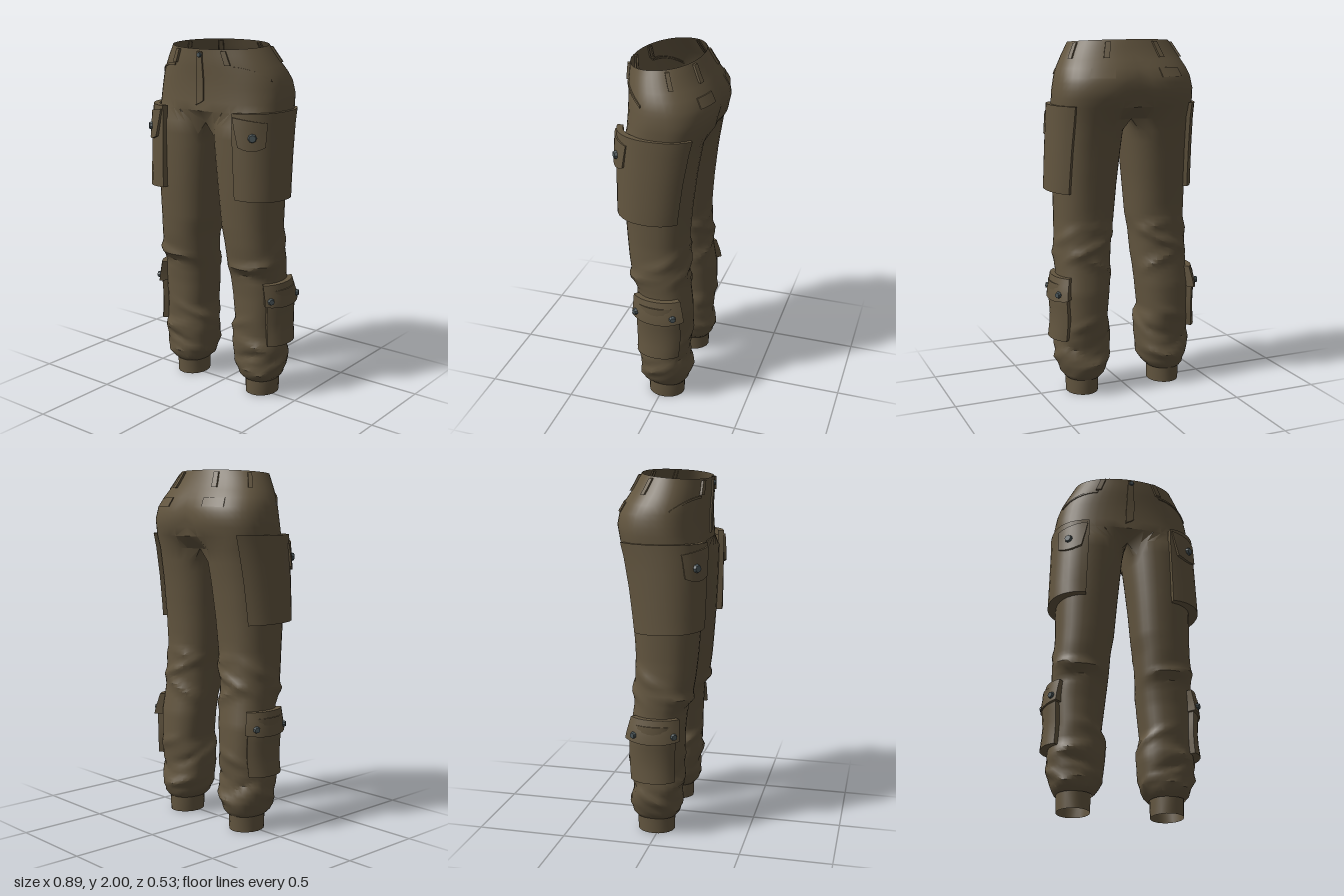
import * as THREE from 'three';
import { mergeGeometries, toCreasedNormals } from 'three/addons/utils/BufferGeometryUtils.js';

const { sin, cos, abs, max, min, PI, sign, exp } = Math;

// leg sections: y, inner x, outer x, front z, back z
const LEG = [
  [0.09, .16, .352, .092, -.132], [.115, .135, .375, .115, -.15], [.2, .10, .40, .128, -.162],
  [.3, .09, .408, .138, -.152], [.36, .09, .40, .132, -.158], [.45, .112, .39, .14, -.17],
  [.6, .095, .40, .142, -.165], [.7, .085, .393, .15, -.15], [.77, .08, .395, .175, -.14],
  [.9, .072, .388, .195, -.14], [1, .055, .385, .205, -.135], [1.2, .038, .388, .22, -.15],
  [1.4, .018, .392, .23, -.172], [1.57, 0, .395, .235, -.2], [1.7, 0, .4, .235, -.23],
];
// hip sections: y, half width, front z, back z, squareness
const HIP = [
  [1.57, .4, .228, -.215, 2.8], [1.64, .402, .228, -.245, 2.7], [1.73, .402, .225, -.267, 2.5],
  [1.8, .39, .226, -.257, 2.4], [1.85, .374, .229, -.23, 2.3], [1.92, .338, .233, -.185, 2.2],
  [2, .295, .234, -.145, 2.1],
];
// cloth folds: y, angle, angular reach, tilt, height, depth
const FOLDS = [
  [.79, .5, 1.5, .02, .035, .022], [.73, .2, 1.1, -.03, .03, -.012], [.9, 1.9, 1.0, .08, .05, .012],
  [.86, 3.2, 1.3, .07, .04, .018], [.76, 3.4, 1.2, -.08, .04, .02], [.95, 3.6, 1.0, -.06, .04, .014],
  [.4, 5.3, 1.3, .06, .04, .016], [.31, .4, 1.2, -.05, .045, .016], [.25, .1, 1.0, .05, .035, -.016],
  [.2, 1.3, 1.1, .07, .04, .018], [.18, 3.3, 1.2, .04, .04, .02], [.27, 2.6, 1.0, -.06, .04, -.018],
  [.15, .3, 1.0, -.03, .025, .016], [.16, 5, 1.1, .04, .035, .016], [.34, 4, 1.1, .05, .04, -.014],
  [.13, 2.2, .8, .02, .025, -.014], [.42, 2.9, .9, .05, .04, .012],
];

function row(table, y) {
  let i = 0;
  while (i < table.length - 2 && y > table[i + 1][0]) i++;
  const a = table[i], b = table[i + 1];
  const k = min(1, max(0, (y - a[0]) / (b[0] - a[0])));
  return a.map((v, j) => v + (b[j] - v) * k);
}
const pow = (v, n) => sign(v) * abs(v) ** (2 / n);

// point on the left leg; angle 0 faces front, PI/2 faces outward
function legPoint(y, t) {
  const [, xi, xo, zf, zb] = row(LEG, y);
  return new THREE.Vector3((xi + xo) / 2 + (xo - xi) / 2 * pow(sin(t), 2.3), y,
    (zf + zb) / 2 + (zf - zb) / 2 * pow(cos(t), 2.3));
}
// point on the left half of the hips
function hipPoint(y, t) {
  const [, w, zf, zb, n] = row(HIP, y);
  const x = w * pow(sin(t), n);
  let z = (zf + zb) / 2 + (zf - zb) / 2 * pow(cos(t), n);
  if (cos(t) < 0) z += .022 * exp(-((x / .07) ** 2)) * max(0, 1 - abs(y - 1.7) / .2);
  const dip = .028 * (.5 + .5 * cos(t)) * max(0, (y - 1.8) / .2);
  return new THREE.Vector3(x, y - dip, z);
}
function outward(surf, y, t) {
  const d = surf(y, t + .03).sub(surf(y, t - .03));
  return new THREE.Vector3(-d.z, 0, d.x).normalize();
}
function foldDepth(y, t) {
  let s = 0;
  for (const [fy, ft, reach, tilt, h, depth] of FOLDS) {
    const dt = ((t - ft + 3 * PI) % (2 * PI)) - PI;
    s += depth * max(0, 1 - abs(dt) / reach) * max(0, 1 - abs(y - fy - tilt * dt) / h);
  }
  return s;
}

function buildGeometry(points, index) {
  const g = new THREE.BufferGeometry();
  g.setAttribute('position', new THREE.Float32BufferAttribute(points.flatMap(p => [p.x, p.y, p.z]), 3));
  g.setIndex(index);
  return g;
}
function mirrored(g) {
  const m = g.clone().scale(-1, 1, 1), ix = m.index.array;
  for (let i = 0; i < ix.length; i += 3) [ix[i], ix[i + 1]] = [ix[i + 1], ix[i]];
  return m;
}

// hips and leg of one side, sharing the crotch ring
function halfTrousers() {
  const M = 24, K = 10, N = M + 1 + K, a = .8, pts = [], index = [];
  const ys = [.09, .1, .115];
  for (let y = .14; y < 1; y += .022) ys.push(y);
  for (let y = 1.02; y < 1.55; y += .06) ys.push(y);
  ys.push(1.57);
  const quad = (p, q, r, s) => index.push(p, q, r, p, r, s);
  ys.forEach((y, j) => {
    for (let i = 0; i < N; i++) {
      const t = i <= M ? -a + (PI + 2 * a) * i / M : PI + a + (PI - 2 * a) * (i - M) / (K + 1);
      const p = legPoint(y, t);
      if (y > .1) p.addScaledVector(outward(legPoint, y, t), foldDepth(y, t));
      if (y === 1.57 && (i >= M || i === 0)) p.x = 0;
      pts.push(p);
      const b = (j - 1) * N, n = (i + 1) % N;
      if (j > 0) quad(b + i, b + n, b + N + n, b + N + i);
    }
  });
  let low = (ys.length - 1) * N;
  for (const y of [1.64, 1.69, 1.73, 1.77, 1.8, 1.85, 1.89, 1.92, 1.96, 2]) {
    const high = pts.length;
    for (let i = 0; i <= M; i++) {
      const p = hipPoint(y, PI * i / M);
      if (i === 0 || i === M) p.x = 0;
      pts.push(p);
      if (i < M) quad(low + i, low + i + 1, high + i + 1, high + i);
    }
    low = high;
  }
  return buildGeometry(pts, index);
}

// raised cloth panel lying on a surface; at(u, v) gives [y, angle], lift(u, v) the height
function panel(surf, at, lift, nu = 10, nv = 5) {
  const pts = [], index = [], W = nu + 3;
  for (let j = -1; j <= nv + 1; j++) for (let i = -1; i <= nu + 1; i++) {
    const u = min(1, max(0, i / nu)), v = min(1, max(0, j / nv));
    const rim = i < 0 || j < 0 || i > nu || j > nv;
    const [y, t] = at(u, v);
    pts.push(surf(y, t).addScaledVector(outward(surf, y, t), rim ? -.01 : lift(u, v)));
    if (i <= nu && j <= nv) {
      const p = (j + 1) * W + i + 1;
      index.push(p, p + 1, p + W + 1, p, p + W + 1, p + W);
    }
  }
  return buildGeometry(pts, index);
}
const rect = (y0, y1, t0, t1) => (u, v) => [y0 + (y1 - y0) * v, t0 + (t1 - t0) * u];

function stud(surf, y, t, lift, r = .022) {
  const n = outward(surf, y, t), g = new THREE.CylinderGeometry(r * .75, r, .016, 8);
  g.applyQuaternion(new THREE.Quaternion().setFromUnitVectors(new THREE.Vector3(0, 1, 0), n));
  const p = surf(y, t).addScaledVector(n, lift);
  return g.translate(p.x, p.y, p.z);
}

export function createModel() {
  const group = new THREE.Group();
  const cloth = new THREE.MeshStandardMaterial({ color: 0x62553f, side: THREE.DoubleSide });
  cloth.name = 'olive brown cloth';
  const metal = new THREE.MeshStandardMaterial({ color: 0x4b5659 });
  metal.name = 'blue grey metal';
  const add = (name, g, mat = cloth) => {
    const mesh = new THREE.Mesh(toCreasedNormals(g, .6), mat);
    mesh.name = name;
    group.add(mesh);
  };
  const pair = (name, g, mat) => {
    add('left ' + name, g, mat);
    add('right ' + name, mirrored(g), mat);
  };

  const half = halfTrousers();
  add('trousers', mergeGeometries([half, mirrored(half)]));

  // ankle cuffs
  const cuff = new THREE.CylinderGeometry(1, .97, .105, 20, 1, true);
  pair('ankle cuff', cuff.scale(.094, 1, .108).translate(.257, .0525, -.02));

  // thigh cargo pockets with a tapered front flap
  pair('thigh pocket', panel(legPoint, (u, v) => [1.185 + .465 * v - .02 * u * (1 - v), .15 + (2.2 + .12 * v) * u],
    (u, v) => .024 + .028 * (1 - v) * sin(PI * min(1, u * .9 + .1)), 14, 6));
  pair('thigh pocket flap', panel(legPoint, (u, v) => [1.475 + .155 * v - .02 * sin(PI * u) * (1 - v) - .03 * u * v,
    .18 + .14 * (1 - v) + (.85 - .2 * (1 - v)) * u], (u, v) => .046 - .012 * v, 6, 3));
  pair('thigh pocket button', stud(legPoint, 1.525, .66, .046, .025), metal);

  // shin cargo pockets
  pair('shin pocket', panel(legPoint, rect(.335, .66, .82, 2.3), (u, v) => .03 + .012 * sin(PI * u), 9, 5));
  pair('shin pocket flap', panel(legPoint, (u, v) => [.575 + .12 * v - .015 * sin(PI * u) * (1 - v), .74 + 1.64 * u],
    (u, v) => .05 - .02 * v, 9, 3));
  for (const [name, t] of [['front', .92], ['rear', 2.05]])
    pair(`shin pocket ${name} button`, stud(legPoint, .605, t, .05, .02), metal);

  // waist: belt loops, slanted hand pockets, rear flaps, fly
  for (const [name, t] of [['front', .5], ['side', 1.95], ['rear', 2.7]])
    pair(`${name} belt loop`, panel(hipPoint, rect(1.905, 1.99, t - .05, t + .05), () => .013, 2, 3));
  pair('hand pocket edge', panel(hipPoint, (u, v) => [1.885 - .075 * u * u + .014 * v, .5 + .75 * u], () => .006, 8, 1));
  pair('rear pocket flap', panel(hipPoint, rect(1.8, 1.85, 2.45, 2.85), () => .006, 6, 2));
  const fly = (u, v) => [1.7 + .285 * v - .03 * (1 - u) * (1 - v), -.02 + .09 * u * (.6 + .4 * v)];
  add('fly', panel(hipPoint, fly, () => .009, 4, 6));
  add('waist button', stud(hipPoint, 1.965, .03, .011, .016), metal);
  return group;
}
